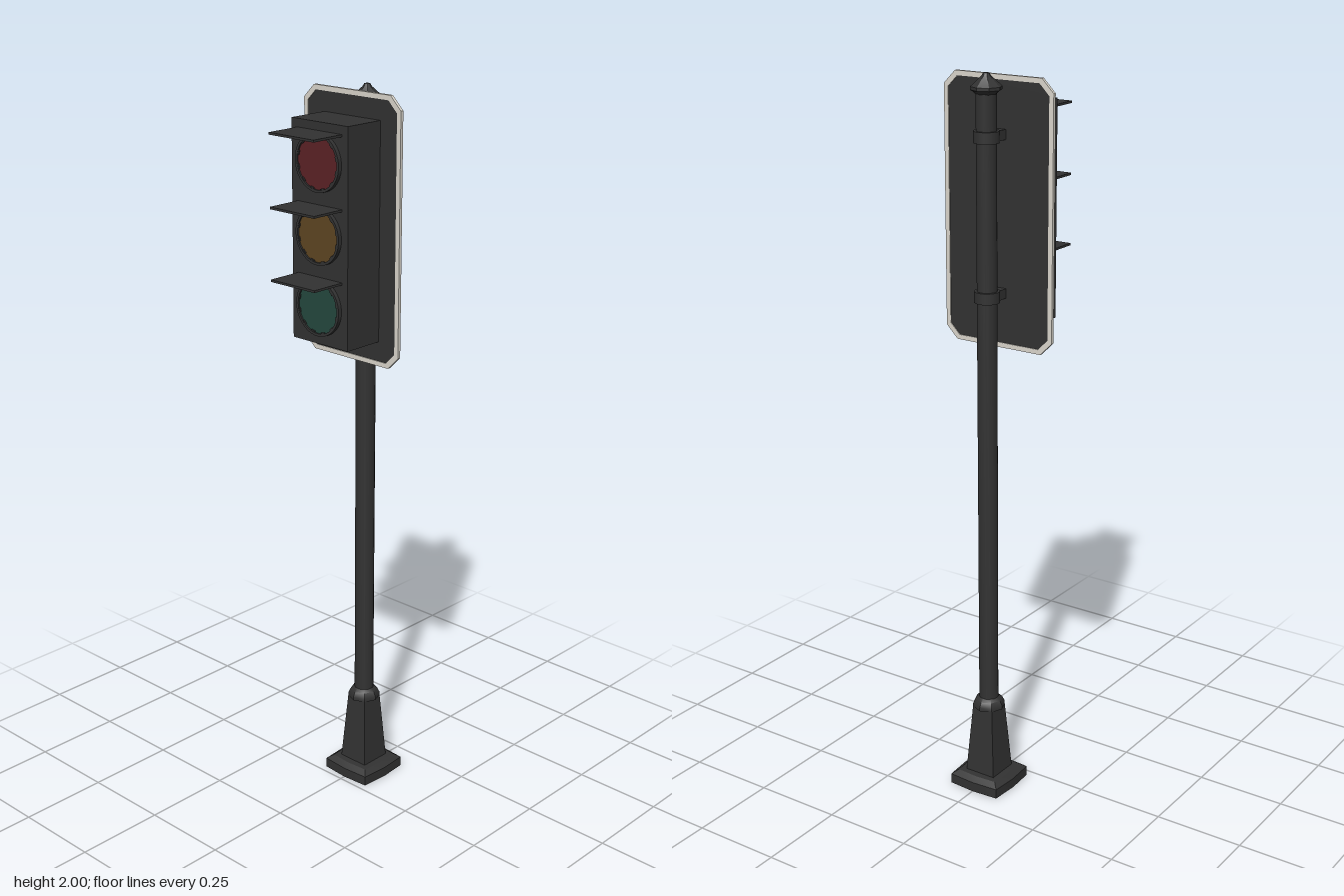
import * as THREE from 'three';
import { toCreasedNormals } from 'three/addons/utils/BufferGeometryUtils.js';

const POLE_Z = -0.098;

const paint = (name, color) => {
  const m = new THREE.MeshStandardMaterial({ color });
  m.name = name;
  return m;
};

// Rectangle outline with cut corners
function chamferedRect(target, w, h, c) {
  const x = w / 2, y = h / 2;
  return target.setFromPoints([
    [-x + c, -y], [x - c, -y], [x, -y + c], [x, y - c],
    [x - c, y], [-x + c, y], [-x, y - c], [-x, -y + c], [-x + c, -y],
  ].map(([a, b]) => new THREE.Vector2(a, b)));
}

// Turned part about the y axis; [radius, height] pairs from bottom to top
function turned(profile, sides, crease = 0.6) {
  const g = new THREE.LatheGeometry(profile.map(([r, y]) => new THREE.Vector2(r, y)), sides);
  return toCreasedNormals(g, crease);
}

export function createModel() {
  const black = paint('black metal', 0x323232);
  const red = paint('red glass', 0x5c2226);
  const amber = paint('amber glass', 0x5e4522);
  const green = paint('green glass', 0x24483e);
  const white = paint('white trim', 0xdad6cc);

  const model = new THREE.Group();
  model.name = 'trafficLight';
  const add = (parent, name, geometry, material, x = 0, y = 0, z = 0) => {
    const mesh = new THREE.Mesh(geometry, material);
    mesh.name = name;
    mesh.position.set(x, y, z);
    parent.add(mesh);
    return mesh;
  };

  // Post
  const post = new THREE.Group();
  post.name = 'post';
  post.position.z = POLE_Z;
  model.add(post);

  // Square foot with slightly bowed sides: an eight-sided turning with its diagonals pushed out
  const foot = new THREE.LatheGeometry(
    [[0, 0], [0.083, 0], [0.083, 0.028], [0.066, 0.04], [0, 0.042]].map(([r, y]) => new THREE.Vector2(r, y)), 8);
  const p = foot.attributes.position;
  for (let i = 0; i < p.count; i++) {
    const x = p.getX(i), z = p.getZ(i);
    if (Math.abs(x) > 0.01 && Math.abs(z) > 0.01) {
      p.setX(i, x * 1.32);
      p.setZ(i, z * 1.32);
    }
  }
  add(post, 'foot', toCreasedNormals(foot, 0.3), black);

  // Tapered square pedestal
  const d = Math.SQRT2;
  add(post, 'pedestal', turned([[0.046 * d, 0.04], [0.032 * d, 0.24]], 4, 0.3), black).rotation.y = Math.PI / 4;

  add(post, 'collar', turned(
    [[0.03, 0.232], [0.045, 0.238], [0.045, 0.248], [0.038, 0.262], [0.027, 0.27]], 8, 0.5), black);
  add(post, 'pole', turned([[0.027, 0.23], [0.027, 1.955]], 16), black);
  add(post, 'finial', turned(
    [[0.026, 1.945], [0.034, 1.953], [0.041, 1.957], [0.041, 1.965], [0.012, 1.991], [0.008, 1.998], [0, 2]], 8, 0.5), black);

  // Clamps holding the head to the pole
  for (const y of [1.84, 1.427]) {
    const clamp = new THREE.Group();
    clamp.name = 'clamp';
    clamp.position.y = y;
    post.add(clamp);
    add(clamp, 'band', new THREE.CylinderGeometry(0.034, 0.034, 0.03, 16), black);
    add(clamp, 'arm', new THREE.BoxGeometry(0.046, 0.026, 0.04), black, 0, 0, 0.035);
  }

  // Signal head
  const head = new THREE.Group();
  head.name = 'signalHead';
  head.position.y = 1.634;
  model.add(head);

  const flat = (shape, depth) => new THREE.ExtrudeGeometry(shape, { depth, bevelEnabled: false, curveSegments: 24 });
  add(head, 'backboard', flat(chamferedRect(new THREE.Shape(), 0.314, 0.69, 0.03), 0.005), black, 0, 0, -0.046);
  const trim = chamferedRect(new THREE.Shape(), 0.334, 0.71, 0.035);
  trim.holes.push(chamferedRect(new THREE.Path(), 0.308, 0.684, 0.029));
  add(head, 'trim', flat(trim, 0.009), white, 0, 0, -0.048);

  add(head, 'housing', new THREE.BoxGeometry(0.195, 0.578, 0.119), black, 0, 0, 0.0185);

  // Lamps: rim, lens, clips and flat visor
  const rimShape = new THREE.Shape().absarc(0, 0, 0.076, 0, Math.PI * 2);
  rimShape.holes.push(new THREE.Path().absarc(0, 0, 0.069, 0, Math.PI * 2, true));
  const rimGeometry = toCreasedNormals(flat(rimShape, 0.011), 0.6);
  const lensGeometry = new THREE.CylinderGeometry(0.07, 0.07, 0.007, 24).rotateX(Math.PI / 2);
  const clipGeometry = new THREE.BoxGeometry(0.012, 0.007, 0.01);
  const visorGeometry = new THREE.BoxGeometry(0.155, 0.006, 0.102);

  [['redLamp', red, 0.188], ['amberLamp', amber, 0], ['greenLamp', green, -0.189]].forEach(([name, glass, y]) => {
    const lamp = new THREE.Group();
    lamp.name = name;
    lamp.position.set(0, y, 0.078);
    head.add(lamp);
    add(lamp, 'rim', rimGeometry, black);
    add(lamp, 'lens', lensGeometry, glass, 0, 0, 0.003);
    for (let i = 0; i < 12; i++) {
      const a = (i + 0.5) * Math.PI / 6;
      const clip = add(lamp, 'clip', clipGeometry, black, 0.069 * Math.cos(a), 0.069 * Math.sin(a), 0.005);
      clip.rotation.z = a + Math.PI / 2;
    }
    add(lamp, 'visor', visorGeometry, black, 0, 0.076, 0.05);
  });

  return model;
}
